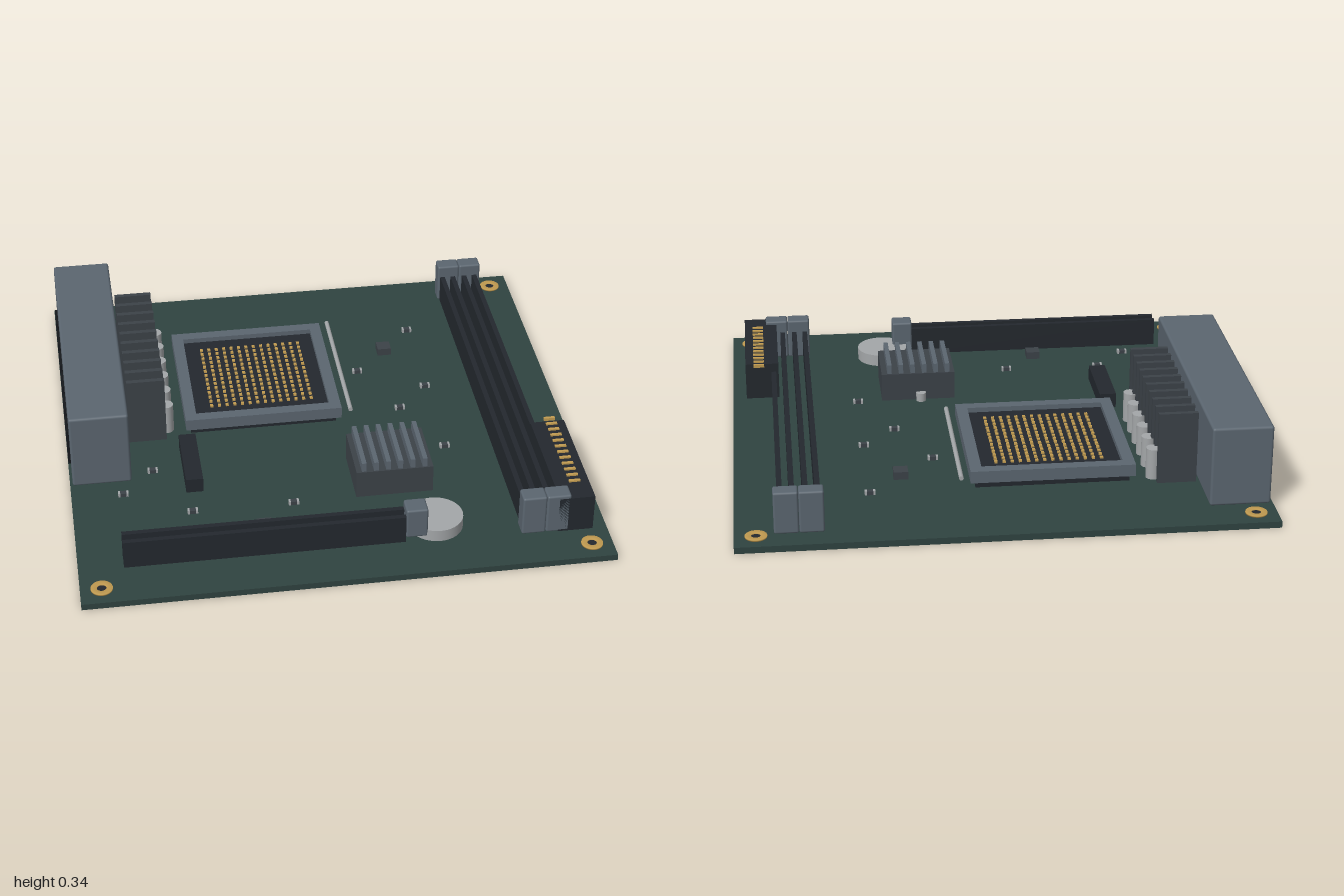
import * as THREE from 'three';
import { mergeGeometries } from 'three/addons/utils/BufferGeometryUtils.js';
import { RoundedBoxGeometry } from 'three/addons/geometries/RoundedBoxGeometry.js';

const mat = (color) => new THREE.MeshStandardMaterial({ color });
const TOP = 0.025; // upper face of the board

// Box geometry given by its limits on each axis; r rounds the edges
function span(x0, x1, y0, y1, z0, z1, r = 0) {
  const s = [x1 - x0, y1 - y0, z1 - z0];
  const g = r ? new RoundedBoxGeometry(...s, 2, r) : new THREE.BoxGeometry(...s);
  return g.translate((x0 + x1) / 2, (y0 + y1) / 2, (z0 + z1) / 2);
}

// Upright cylinder standing on the board
function post(x, z, r, y1, y0 = TOP, sides = 24) {
  return new THREE.CylinderGeometry(r, r, y1 - y0, sides).translate(x, (y0 + y1) / 2, z);
}

const times = (n, fn) => Array.from({ length: n }, (_, i) => fn(i));

export function createModel() {
  const model = new THREE.Group();
  model.name = 'mainboard';
  const green = mat(0x2f4340), steel = mat(0x5b6670), dark = mat(0x23282e);
  const fin = mat(0x3c4248), gold = mat(0xc09a50), silver = mat(0xa3a6a8), black = mat(0x15181c);

  const add = (name, material, ...parts) => {
    const mesh = new THREE.Mesh(parts.length > 1 ? mergeGeometries(parts) : parts[0], material);
    mesh.name = name;
    model.add(mesh);
  };

  // Circuit board with a gold ring and dark hole in each corner
  add('board', green, span(-1, 1, 0, TOP, -1, 1));
  const corners = [[-1, -1], [1, -1], [-1, 1], [1, 1]].map(([x, z]) => [x * 0.92, z * 0.92]);
  const ringProfile = [[0.018, TOP], [0.041, TOP], [0.041, 0.031], [0.018, 0.031], [0.018, TOP]]
    .map(([x, y]) => new THREE.Vector2(x, y));
  add('mountingRings', gold, ...corners.map(([x, z]) =>
    new THREE.LatheGeometry(ringProfile, 32).toNonIndexed().translate(x, 0, z)));
  gold.side = THREE.DoubleSide;
  add('mountingHoles', dark, ...corners.map(([x, z]) => post(x, z, 0.019, 0.027)));

  // Rear port housing with six port openings on its outer face
  add('portHousing', steel, span(-0.99, -0.76, TOP, 0.34, -0.85, 0.285, 0.01));
  add('ports', black, ...times(6, (i) => {
    const z = -0.61 + i * 0.155;
    return span(-1, -0.98, 0.09, 0.24, z - 0.055, z + 0.055);
  }));

  // Power stage: cooling fins and capacitors beside the housing
  add('powerFins', fin, ...times(10, (i) => {
    const z = -0.625 + i * 0.0711;
    return span(-0.75, -0.6, TOP, 0.31, z - 0.01, z + 0.01);
  }));
  add('capacitors', silver, ...times(6, (i) => post(-0.593, -0.575 + i * 0.106, 0.028, 0.147)));

  // Processor socket: base, raised frame, contact pad, contacts and lever
  add('socketBase', dark, span(-0.5, 0.09, TOP, 0.07, -0.6, -0.005));
  add('socketFrame', steel,
    span(-0.52, 0.11, 0.052, 0.1, -0.62, -0.575),
    span(-0.52, 0.11, 0.052, 0.1, -0.03, 0.015),
    span(-0.52, -0.475, 0.052, 0.1, -0.575, -0.03),
    span(0.065, 0.11, 0.052, 0.1, -0.575, -0.03));
  add('socketPad', dark, span(-0.475, 0.065, 0.06, 0.08, -0.575, -0.03));
  add('socketContacts', gold, ...times(196, (i) => {
    const x = -0.405 + (i % 14) * 0.0313, z = -0.505 + Math.floor(i / 14) * 0.0313;
    return span(x - 0.006, x + 0.006, 0.08, 0.087, z - 0.007, z + 0.007);
  }));
  add('socketLever', silver, new THREE.CylinderGeometry(0.009, 0.009, 0.65, 12)
    .rotateX(Math.PI / 2).translate(0.147, 0.085, -0.315));

  // Memory slots: paired walls with a latch block at each end
  add('memorySlots', dark, ...[0.69, 0.735, 0.785, 0.83].map((x) =>
    span(x - 0.01, x + 0.01, TOP, 0.14, -0.85, 0.77)));
  add('memoryLatches', steel, ...[0.67, 0.763].flatMap((x) =>
    [[-0.91, -0.845], [0.76, 0.83]].map(([z0, z1]) =>
      span(x, x + 0.092, TOP, 0.19, z0, z1, 0.008))));

  // Expansion slot along the front edge
  add('expansionSlot', dark, ...[0.75, 0.8].map((z) =>
    span(-0.83, 0.23, TOP, 0.14, z - 0.01, z + 0.01)));
  add('expansionLatch', steel, span(0.23, 0.313, 0.045, 0.17, 0.735, 0.813, 0.008));

  // Power connector with a row of contacts
  add('powerConnector', dark, span(0.81, 0.945, TOP, 0.176, 0.33, 0.83));
  add('powerContacts', gold, ...times(12, (i) => {
    const z = 0.313 + i * 0.0375;
    return span(0.868, 0.912, 0.17, 0.182, z - 0.006, z + 0.006);
  }));

  // Chipset cooler
  add('coolerBase', fin, span(0.09, 0.39, TOP, 0.14, 0.25, 0.51));
  add('coolerFins', steel, ...times(6, (i) => {
    const x = 0.12 + i * 0.0475;
    return span(x - 0.009, x + 0.009, 0.14, 0.178, 0.255, 0.505);
  }));
  add('coolerPost', silver, post(0.23, 0.24, 0.02, 0.06));

  // Coin battery, pin header and small chips
  add('battery', silver, post(0.36, 0.72, 0.104, 0.073, TOP, 48));
  add('pinHeader', dark, span(-0.557, -0.49, TOP, 0.085, 0.085, 0.387));
  add('smallChips', fin, ...[[0.365, -0.475], [-0.285, 0.655]].map(([x, z]) =>
    span(x - 0.028, x + 0.028, TOP, 0.056, z - 0.028, z + 0.028)));

  // Tiny surface components: dark body with silver ends
  const spots = [[0.49, -0.615], [0.23, -0.335], [0.49, -0.19], [0.36, -0.05], [0.49, 0.235],
    [-0.675, 0.235], [-0.8, 0.37], [-0.545, 0.515], [-0.155, 0.515], [-0.675, 0.655], [0.1, 0.655]];
  add('resistorBodies', fin, ...spots.map(([x, z]) =>
    span(x - 0.012, x + 0.012, TOP, 0.04, z - 0.01, z + 0.01)));
  add('resistorEnds', silver, ...spots.flatMap(([x, z]) => [-0.016, 0.016].map((d) =>
    span(x + d - 0.004, x + d + 0.004, TOP, 0.041, z - 0.01, z + 0.01))));

  return model;
}
